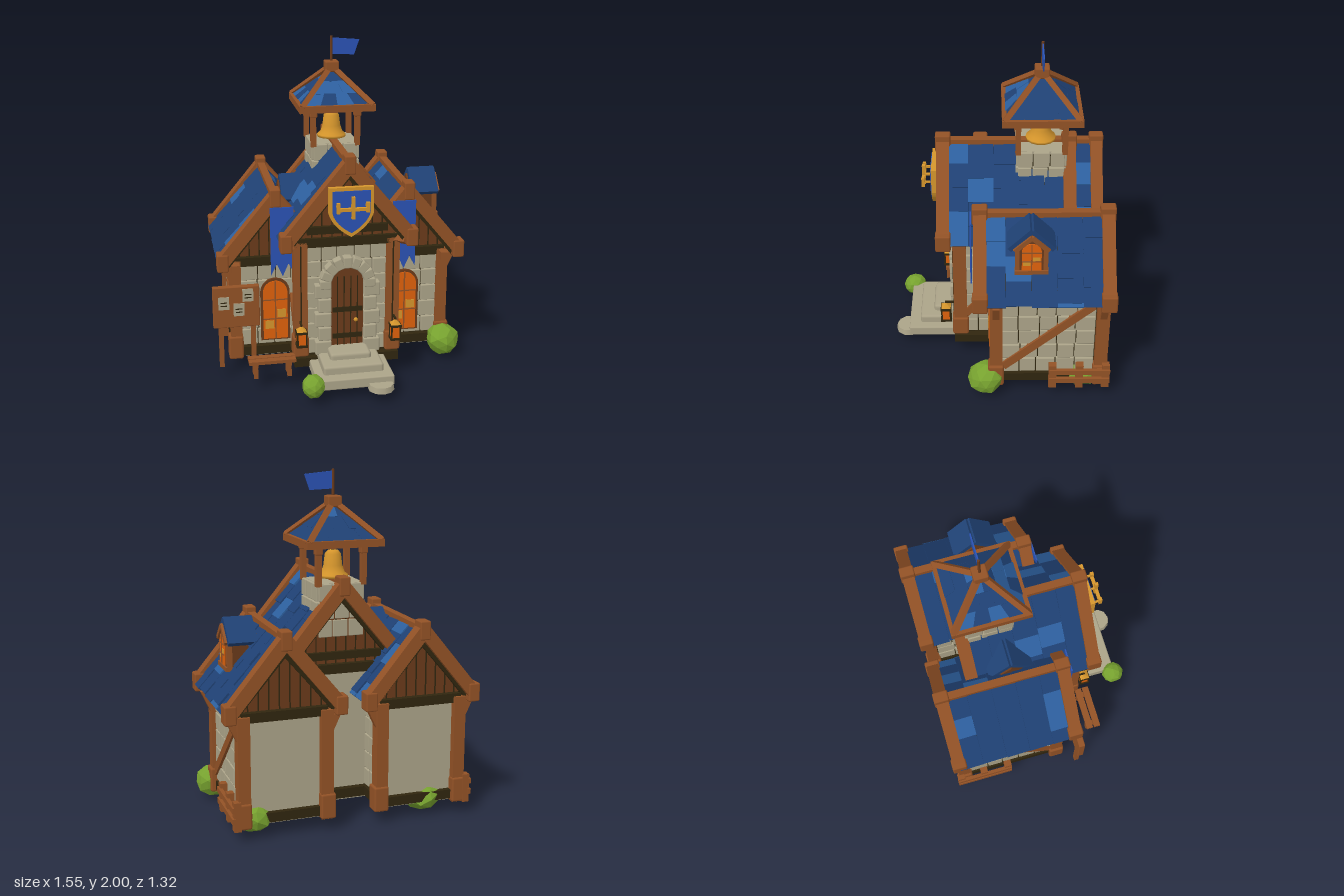
import * as THREE from 'three';
import { RoundedBoxGeometry } from 'three/addons/geometries/RoundedBoxGeometry.js';

const mat = (name, color) => {
  const m = new THREE.MeshStandardMaterial({ color });
  m.name = name;
  return m;
};
const timber = mat('timber', 0x935226), plank = mat('plank', 0x6b3b1b), dark = mat('darkTimber', 0x30260f);
const stone = mat('stone', 0xaca489), slate = mat('slate', 0x1f4174), slateLight = mat('lightSlate', 0x2d609f);
const cloth = mat('cloth', 0x2b53b4), gold = mat('gold', 0xd6962c), glow = mat('glow', 0xe0620c), leaf = mat('leaf', 0x77a22f);

let seed = 7;
const rnd = () => (seed = (seed * 16807) % 2147483647) / 2147483647;

function put(parent, name, geo, m, x = 0, y = 0, z = 0) {
  const mesh = new THREE.Mesh(geo, m);
  mesh.name = name;
  mesh.position.set(x, y, z);
  parent.add(mesh);
  return mesh;
}
const box = (p, name, m, w, h, d, x, y, z) => put(p, name, new THREE.BoxGeometry(w, h, d), m, x, y, z);
const block = (p, name, m, w, h, d, x, y, z) =>
  put(p, name, new RoundedBoxGeometry(w, h, d, 1, Math.min(w, h, d) * 0.14), m, x, y, z);
function beam(p, name, m, a, b, w, d) {
  const A = new THREE.Vector3(...a), B = new THREE.Vector3(...b), dir = B.clone().sub(A);
  const mesh = box(p, name, m, w, dir.length(), d, ...A.clone().add(B).multiplyScalar(0.5).toArray());
  mesh.quaternion.setFromUnitVectors(new THREE.Vector3(0, 1, 0), dir.normalize());
  return mesh;
}
function group(p, name, x = 0, y = 0, z = 0, ry = 0) {
  const g = new THREE.Group();
  g.name = name;
  g.position.set(x, y, z);
  g.rotation.y = ry;
  p.add(g);
  return g;
}
const extrude = (shape, depth) => new THREE.ExtrudeGeometry(shape, { depth, bevelEnabled: false, curveSegments: 8 });
const poly = (pts, depth) => extrude(new THREE.Shape(pts.map(p => new THREE.Vector2(...p))), depth);
function arch(w, h, depth) {
  const r = w / 2, s = new THREE.Shape();
  s.moveTo(-r, 0).lineTo(r, 0).lineTo(r, h - r).absarc(0, h - r, r, 0, Math.PI, false);
  return extrude(s, depth);
}

// Stone courses on a plane facing local +z
function stoneWall(p, w, h, x, y, z, ry = 0) {
  const g = group(p, 'stoneWall', x, y, z, ry), rows = Math.round(h / 0.105), rh = h / rows;
  const n = Math.round(w / 0.105);
  for (let r = 0; r < rows; r++) {
    const cuts = [0];
    for (let i = 1; i < n; i++) cuts.push(w * (i + (rnd() - 0.5) * 0.18) / n);
    cuts.push(w);
    for (let i = 0; i < n; i++)
      block(g, 'wallStone', stone, cuts[i + 1] - cuts[i] - 0.006, rh - 0.006, 0.03,
        (cuts[i] + cuts[i + 1]) / 2 - w / 2, (r + 0.5) * rh, rnd() * 0.006);
  }
}

// Arched glowing window facing local +z
function archWindow(p, w, h, x, y, z, ry = 0) {
  const g = group(p, 'window', x, y, z, ry), k = w / 0.15;
  put(g, 'windowFrame', arch(w + 0.03 * k, h + 0.025 * k, 0.02), plank, 0, -0.01, 0);
  put(g, 'windowGlass', arch(w, h, 0.026), glow);
  box(g, 'mullion', timber, 0.008 * k, h, 0.006, 0, h / 2, 0.029);
  for (const f of [0.35, 0.68]) box(g, 'glazingBar', timber, w, 0.007 * k, 0.006, 0, h * f, 0.029);
  for (const [sx, f] of [[-1, 0.25], [1, 0.44]])
    box(g, 'brightPane', gold, w * 0.36, h * 0.14, 0.004, sx * w * 0.25, h * f, 0.027);
}

// Gabled roof along z: slates, bargeboards, corner blocks, plank gables
function gableRoof(p, ridge, half, z0, z1, gz0, gz1) {
  const g = group(p, 'roof'), drop = half * 1.21, L = Math.hypot(half, drop), ang = Math.atan(1.21), len = z1 - z0, mid = (z0 + z1) / 2;
  for (const s of [-1, 1]) {
    const slope = group(g, 'roofSlope', 0, ridge - 0.022, 0);
    slope.rotation.z = -s * ang;
    box(slope, 'roofBoards', dark, L, 0.05, len, s * L / 2, -0.018, mid);
    const cols = Math.round(len / 0.135), cw = len / cols;
    for (let c = 0; c < cols; c++) {
      const off = (c % 2) * 0.06 + rnd() * 0.03;
      let u = 0;
      for (let i = 0; u < L - 0.01; i++) {
        const e = Math.min(L + 0.01, (i + 1) * 0.14 - off);
        const t = box(slope, 'slateTile', rnd() < 0.2 ? slateLight : slate, e - u + 0.004, 0.024, cw - 0.001,
          s * (u + e) / 2, 0.018 + rnd() * 0.006, z0 + (c + 0.5) * cw);
        t.rotation.z = s * 0.06;
        t.rotation.x = 0.03;
        u = e;
      }
    }
    for (const z of [z0, z1]) {
      beam(g, 'bargeboard', timber, [0, ridge, z], [s * half, ridge - drop, z], 0.075, 0.075);
      block(g, 'eaveBlock', timber, 0.07, 0.11, 0.09, s * half, ridge - drop, z);
    }
  }
  box(g, 'ridgeBeam', timber, 0.045, 0.045, len, 0, ridge + 0.004, mid);
  for (const z of [z0, z1]) block(g, 'ridgeBlock', timber, 0.065, 0.11, 0.09, 0, ridge + 0.003, z);
  const base = ridge - drop, hw = half - 0.03;
  for (const [z, f] of [[gz0, -1], [gz1, 1]]) {
    put(g, 'gablePlanks', poly([[-hw, base], [hw, base], [0, ridge - 0.03]], 0.03), plank, 0, 0, z - 0.015);
    for (let x = -0.21; x < 0.22; x += 0.06) {
      const h = (drop - 0.05) * (1 - Math.abs(x) / hw);
      box(g, 'plankGap', dark, 0.007, h, 0.006, x, base + h / 2, z + f * 0.017);
    }
    for (const s of [-1, 1])
      beam(g, 'innerRafter', dark, [0, ridge - 0.07, z + f * 0.02], [s * (half - 0.03), base - 0.02, z + f * 0.02], 0.035, 0.03);
  }
}

function wing(p, x, outer) {
  const g = group(p, 'wing', x);
  box(g, 'wallCore', dark, 0.46, 0.65, 0.6, 0, 0.395, -0.27);
  box(g, 'floor', stone, 0.44, 0.01, 0.58, 0, 0.068, -0.27);
  stoneWall(g, 0.44, 0.53, 0, 0.15, 0.033);
  for (const s of [-1, 1]) stoneWall(g, 0.56, 0.53, s * 0.233, 0.15, -0.27, s * Math.PI / 2);
  box(g, 'backPanel', stone, 0.46, 0.54, 0.02, 0, 0.415, -0.575);
  for (const z of [0.04, -0.585]) for (const y of [0.115, 0.7]) box(g, 'wallBeam', dark, 0.5, 0.055, 0.05, 0, y, z);
  for (const s of [-1, 1]) {
    for (const y of [0.115, 0.7]) box(g, 'sideBeam', dark, 0.05, 0.055, 0.62, s * 0.235, y, -0.27);
    for (const z of [0.03, -0.59]) {
      box(g, 'cornerPost', timber, 0.07, 0.64, 0.075, s * 0.24, 0.39, z);
      block(g, 'postFoot', timber, 0.09, 0.15, 0.095, s * 0.245, 0.145, z);
      beam(g, 'eaveBrace', timber, [s * 0.25, 0.56, z], [s * 0.315, 0.7, z], 0.035, 0.04);
      beam(g, 'eaveBracket', timber, [s * 0.24, 0.68, z], [s * 0.24, 0.68, z < 0 ? z - 0.02 : 0.13], 0.05, 0.05);
    }
  }
  beam(g, 'wallBrace', timber, [outer * 0.25, 0.2, -0.01], [outer * 0.25, 0.66, -0.53], 0.03, 0.05);
  archWindow(g, 0.15, 0.38, 0, 0.19, 0.045);
  gableRoof(g, 1.118, 0.317, -0.61, 0.12, -0.58, 0.035);
  // Dormer on the +x slope
  const d = group(g, 'dormer', 0.205, 0, -0.17, Math.PI / 2);
  put(d, 'dormerBody', poly([[-0.085, 0.87], [0.085, 0.87], [0.085, 1.06], [0, 1.14], [-0.085, 1.06]], 0.16), plank, 0, 0, -0.15);
  archWindow(d, 0.11, 0.18, 0, 0.905, 0.01);
  box(d, 'dormerSill', timber, 0.19, 0.025, 0.04, 0, 0.89, 0.02);
  for (const s of [-1, 1]) {
    for (let i = 0; i < 2; i++)
      beam(d, 'dormerSlate', slate, [s * 0.06 * i, 1.165 - 0.06 * i, -0.055], [s * (0.06 * i + 0.065), 1.1 - 0.06 * i, -0.055], 0.03, 0.17);
    beam(d, 'dormerBarge', timber, [0, 1.13, 0.032], [s * 0.095, 1.04, 0.032], 0.025, 0.025);
    box(d, 'dormerPost', timber, 0.025, 0.17, 0.03, s * 0.08, 0.97, 0.015);
  }
}

function hall(p) {
  const g = group(p, 'hall');
  box(g, 'wallCore', dark, 0.56, 0.83, 0.6, 0, 0.485, -0.06);
  box(g, 'floor', stone, 0.54, 0.01, 0.58, 0, 0.066, -0.06);
  stoneWall(g, 0.5, 0.69, 0, 0.16, 0.243);
  for (const s of [-1, 1]) stoneWall(g, 0.2, 0.69, s * 0.283, 0.16, 0.13, s * Math.PI / 2);
  box(g, 'backPanel', stone, 0.5, 0.7, 0.02, 0, 0.5, -0.365);
  for (const y of [0.115, 0.875]) {
    box(g, 'frontBeam', dark, 0.64, 0.055, 0.06, 0, y, 0.255);
    box(g, 'backBeam', dark, 0.5, 0.055, 0.05, 0, y, -0.37);
    for (const s of [-1, 1]) box(g, 'sideBeam', dark, 0.06, 0.055, 0.6, s * 0.29, y, -0.06);
  }
  for (const z of [-0.37, 0.27]) box(g, 'tieBeam', dark, 0.48, 0.045, 0.06, 0, 0.955, z);
  for (const s of [-1, 1]) {
    box(g, 'frontPost', timber, 0.08, 0.72, 0.08, s * 0.278, 0.52, 0.245);
    box(g, 'postSeam', dark, 0.008, 0.6, 0.006, s * 0.278, 0.56, 0.286);
    block(g, 'postFoot', timber, 0.095, 0.13, 0.1, s * 0.28, 0.22, 0.245);
    beam(g, 'sideBrace', timber, [s * 0.3, 0.3, 0.22], [s * 0.3, 0.48, 0.07], 0.03, 0.045);
    beam(g, 'eaveBracket', timber, [s * 0.29, 0.87, 0.24], [s * 0.35, 0.88, 0.33], 0.05, 0.05);
  }
  gableRoof(g, 1.357, 0.372, -0.405, 0.335, -0.36, 0.26);
  // Door with stone surround
  put(g, 'door', arch(0.19, 0.5, 0.03), plank, 0, 0.215, 0.262);
  for (const x of [-0.06, -0.02, 0.02, 0.06]) box(g, 'doorSeam', dark, 0.006, 0.44, 0.006, x, 0.44, 0.293);
  for (const y of [0.28, 0.45]) box(g, 'doorStrap', dark, 0.18, 0.03, 0.008, 0, y, 0.295);
  put(g, 'doorKnob', new THREE.SphereGeometry(0.013, 8, 6), gold, 0.05, 0.38, 0.3);
  for (const s of [-1, 1]) for (let i = 0; i < 5; i++) {
    const w = i % 2 ? 0.08 : 0.1;
    block(g, 'jambStone', stone, w, 0.087, 0.06, s * (0.097 + w / 2), 0.21 + i * 0.091, 0.28);
  }
  for (let i = 0; i < 9; i++) {
    const a = Math.PI * i / 8;
    block(g, 'archStone', stone, 0.07, 0.054, 0.065, Math.cos(a) * 0.133, 0.615 + Math.sin(a) * 0.133, 0.28).rotation.z = a;
  }
  // Shield
  const shield = k => {
    const s = new THREE.Shape();
    s.moveTo(-0.5 * k, 0.5 * k).lineTo(0.5 * k, 0.5 * k).lineTo(0.5 * k, -0.1 * k);
    s.quadraticCurveTo(0.42 * k, -0.4 * k, 0, -0.64 * k).quadraticCurveTo(-0.42 * k, -0.4 * k, -0.5 * k, -0.1 * k);
    return s;
  };
  put(g, 'shieldRim', extrude(shield(0.26), 0.03), gold, 0, 1.11, 0.375);
  put(g, 'shieldField', extrude(shield(0.22), 0.036), cloth, 0, 1.11, 0.375);
  box(g, 'shieldBar', gold, 0.19, 0.018, 0.02, 0, 1.125, 0.455);
  for (const [x, h] of [[-0.085, 0.06], [0, 0.13], [0.085, 0.06]]) {
    box(g, 'shieldPeg', gold, 0.02, h, 0.02, x, 1.135, 0.455);
    box(g, 'shieldBolt', gold, 0.012, 0.012, 0.05, x, 1.135, 0.43);
  }
  // Steps
  for (const [w, top, z] of [[0.25, 0.22, 0.42], [0.36, 0.18, 0.505], [0.46, 0.13, 0.575]])
    block(g, 'step', stone, w, top - 0.065, z - 0.22, 0, (top + 0.065) / 2, (z + 0.22) / 2);
  put(g, 'flagstone', new THREE.CylinderGeometry(0.072, 0.078, 0.035, 10), stone, 0.145, 0.075, 0.585);
}

function bellTower(p) {
  const g = group(p, 'bellTower', 0, 0, -0.238);
  box(g, 'towerCore', dark, 0.24, 0.3, 0.24, 0, 1.2, 0);
  box(g, 'towerTop', stone, 0.26, 0.02, 0.26, 0, 1.358, 0);
  for (let i = 0; i < 4; i++) {
    const a = i * Math.PI / 2;
    stoneWall(g, 0.275, 0.31, Math.sin(a) * 0.128, 1.06, Math.cos(a) * 0.128, a);
    const side = group(g, 'towerSide', 0, 0, 0, a);
    box(side, 'towerPost', timber, 0.032, 0.25, 0.032, 0.135, 1.48, 0.135);
    block(side, 'postCap', timber, 0.045, 0.05, 0.045, 0.135, 1.56, 0.135);
    box(side, 'eaveBeam', timber, 0.455, 0.042, 0.042, 0, 1.6, 0.208);
    beam(side, 'hipBeam', timber, [0.215, 1.612, 0.215], [0.02, 1.8, 0.02], 0.032, 0.032);
    // Tapering slate courses on each face
    const face = group(side, 'roofFace', 0, 1.608, 0.208);
    face.rotation.x = -Math.atan2(0.208, 0.19);
    for (let r = 0; r < 3; r++) {
      const n = 4 - r, t0 = r / 3, t1 = (r + 1) / 3, w0 = 0.208 * (1 - t0), w1 = 0.208 * (1 - t1);
      for (let j = 0; j < n; j++) {
        const l = 2 * j / n - 1, k = 2 * (j + 1) / n - 1;
        put(face, 'towerSlate', poly([[l * w0, t0 * 0.28], [k * w0, t0 * 0.28], [k * w1, t1 * 0.28], [l * w1, t1 * 0.28]], 0.012),
          rnd() < 0.35 ? slateLight : slate, 0, 0, -0.006 + rnd() * 0.005);
      }
    }
  }
  block(g, 'roofCap', timber, 0.085, 0.065, 0.085, 0, 1.82, 0);
  put(g, 'flagPole', new THREE.CylinderGeometry(0.008, 0.008, 0.16, 8), plank, 0, 1.92, 0);
  put(g, 'flag', poly([[0.005, 1.89], [0.14, 1.885], [0.172, 1.975], [0.005, 1.99]], 0.008), cloth, 0, 0, -0.004);
  const bell = [[0, 0.16], [0.03, 0.155], [0.047, 0.135], [0.055, 0.07], [0.068, 0.03], [0.088, 0.015], [0.088, 0], [0.06, 0], [0, 0.06]];
  put(g, 'bell', new THREE.LatheGeometry(bell.map(q => new THREE.Vector2(...q)).reverse(), 14), gold, 0, 1.385, 0);
  put(g, 'bellHanger', new THREE.CylinderGeometry(0.01, 0.01, 0.22, 6), dark, 0, 1.645, 0);
}

function bush(p, x, y, z, r, stretch = 1) {
  const geo = new THREE.IcosahedronGeometry(1, 1), a = geo.attributes.position;
  for (let i = 0; i < a.count; i++) {
    const k = r * (1 + 0.1 * Math.sin(a.getX(i) * 9 + x * 20) * Math.cos(a.getY(i) * 7 + a.getZ(i) * 5));
    a.setXYZ(i, a.getX(i) * k, a.getY(i) * k * 0.88, a.getZ(i) * k * stretch);
  }
  geo.computeVertexNormals();
  put(p, 'bush', geo, leaf, x, y, z);
}

export function createModel() {
  const model = new THREE.Group();
  model.name = 'townHall';
  const g = group(model, 'building', 0.012);
  hall(g);
  bellTower(g);
  for (const s of [-1, 1]) {
    wing(g, s * 0.405, s);
    // Banner and lantern
    const b = [[-0.07, 1.07], [-0.07, 0.65], [-0.035, 0.72], [0, 0.64], [0.035, 0.72], [0.07, 0.65], [0.07, 1.07]];
    put(g, 'banner', poly(b, 0.008), cloth, s * 0.37, 0, 0.17);
    const l = group(g, 'lantern', s * 0.285, 0.3, 0.335);
    box(l, 'lanternGlow', glow, 0.052, 0.078, 0.052, 0, 0, 0);
    for (const y of [-0.042, 0.042]) box(l, 'lanternPlate', dark, 0.066, 0.014, 0.066, 0, y, 0);
    for (const x of [-0.026, 0.026]) for (const z of [-0.026, 0.026]) box(l, 'lanternBar', dark, 0.009, 0.08, 0.009, x, 0, z);
    put(l, 'lanternRoof', new THREE.ConeGeometry(0.042, 0.03, 4), gold, 0, 0.063, 0).rotation.y = Math.PI / 4;
    box(l, 'lanternHook', dark, 0.01, 0.012, 0.06, 0, 0.083, -0.025);
    // Fence
    for (const z of [-0.305, -0.465, -0.62]) box(g, 'fencePost', timber, 0.04, 0.17, 0.045, s * 0.69, 0.152, z);
    for (const y of [0.13, 0.195]) box(g, 'fenceRail', timber, 0.022, 0.032, 0.36, s * 0.71, y, -0.465);
  }
  // Notice board
  block(model, 'noticeBoard', timber, 0.28, 0.26, 0.04, -0.64, 0.46, 0.155);
  for (const x of [-0.735, -0.54]) box(model, 'boardLeg', timber, 0.028, 0.3, 0.03, x, 0.22, 0.15);
  for (const [x, y] of [[-0.715, 0.49], [-0.625, 0.445], [-0.57, 0.535]]) {
    box(model, 'notice', stone, 0.065, 0.08, 0.006, x, y, 0.177);
    for (const dy of [-0.015, 0.005]) box(model, 'noticeLine', dark, 0.04, 0.006, 0.003, x, y + dy, 0.181);
  }
  // Bench
  for (const z of [0.29, 0.34]) box(model, 'benchSeat', timber, 0.28, 0.02, 0.042, -0.45, 0.17, z);
  for (const x of [-0.55, -0.35]) {
    box(model, 'benchBearer', timber, 0.03, 0.02, 0.09, x, 0.15, 0.315);
    for (const z of [0.285, 0.345]) box(model, 'benchLeg', timber, 0.025, 0.08, 0.025, x, 0.11, z);
  }
  bush(model, -0.24, 0.1, 0.565, 0.072);
  bush(model, 0.67, 0.11, 0.09, 0.107);
  bush(model, 0.59, 0.11, -0.49, 0.115, 1.35);
  bush(model, -0.465, 0.1, -0.47, 0.115, 1.4);
  return model;
}
